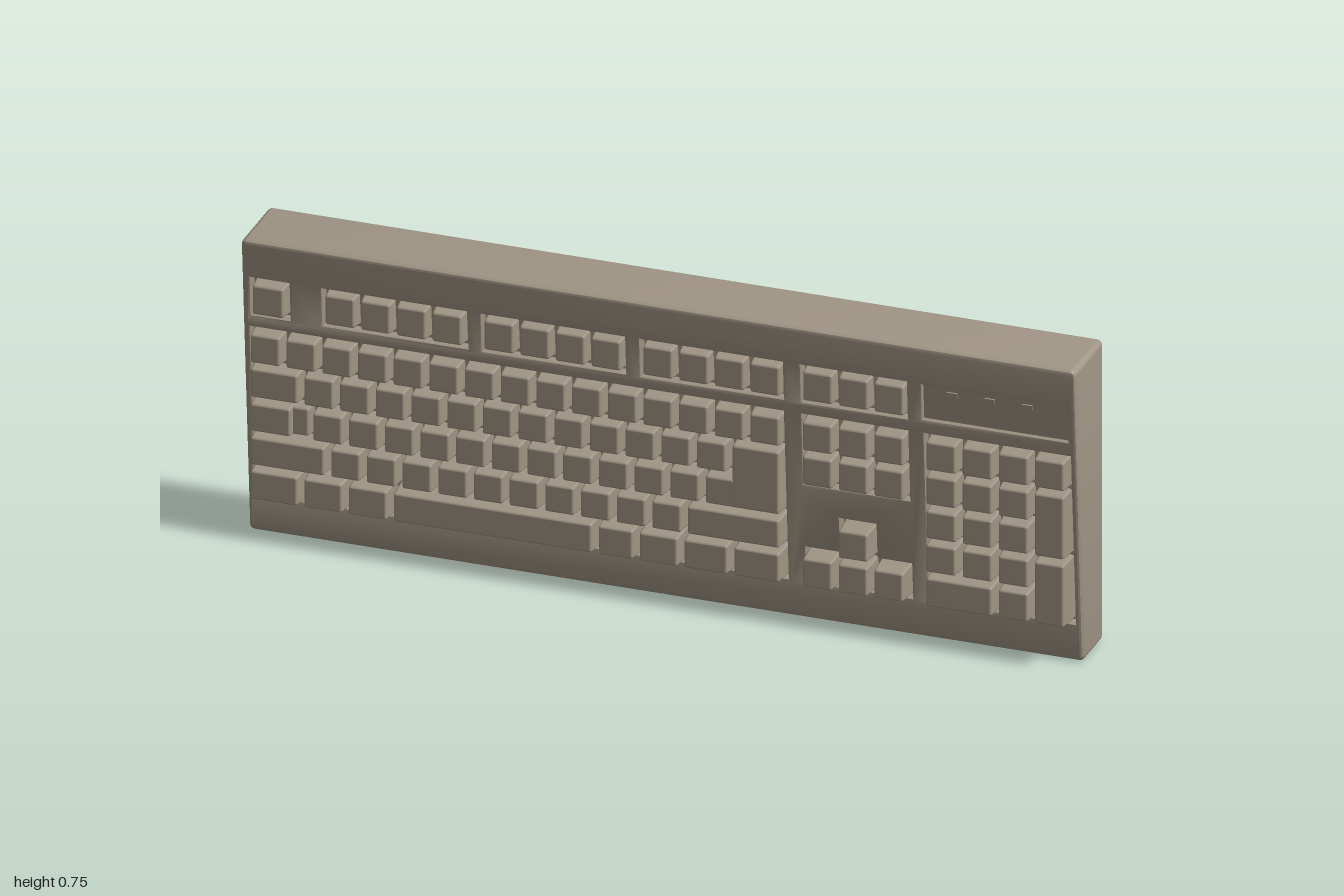
import * as THREE from 'three';
import { toCreasedNormals } from 'three/addons/utils/BufferGeometryUtils.js';
import { RoundedBoxGeometry } from 'three/addons/geometries/RoundedBoxGeometry.js';

const U = 0.0855;                       // width of a single key
const BACK = -0.095;
const slope = (y) => 0.035 + 0.075 * y; // height of the slanted front face
// vertical extent of each key row, lowest first
const ROWS = [[0.1, 0.18], [0.186, 0.264], [0.27, 0.348], [0.355, 0.435], [0.441, 0.521]];
const TOP_ROW = [0.566, 0.648];

export function createModel() {
  const model = new THREE.Group();
  model.name = 'keyboard';
  const plastic = new THREE.MeshStandardMaterial({ color: 0xa09585 });
  plastic.name = 'beige plastic';

  const add = (parent, name, geometry) => {
    const mesh = new THREE.Mesh(geometry, plastic);
    mesh.name = name;
    parent.add(mesh);
    return mesh;
  };
  const group = (name) => {
    const g = new THREE.Group();
    g.name = name;
    model.add(g);
    return g;
  };

  // Case outline with softened corners
  const outline = () => {
    const s = new THREE.Shape(), r = 0.014, t = 0.75;
    s.moveTo(-1 + r, 0).lineTo(1 - r, 0).quadraticCurveTo(1, 0, 1, r);
    s.lineTo(1, t - r).quadraticCurveTo(1, t, 1 - r, t);
    s.lineTo(-1 + r, t).quadraticCurveTo(-1, t, -1, t - r);
    s.lineTo(-1, r).quadraticCurveTo(-1, 0, -1 + r, 0);
    return s;
  };
  // Bevelled slab whose two faces follow the depths back(y) and front(y)
  const slab = (shape, back, front) => {
    const b = 0.008, bt = 0.012;
    const g = new THREE.ExtrudeGeometry(shape, {
      depth: 1, bevelEnabled: true, bevelSize: b, bevelOffset: -b,
      bevelThickness: bt, bevelSegments: 3, curveSegments: 4,
    });
    const p = g.attributes.position;
    for (let i = 0; i < p.count; i++) {
      const y = p.getY(i), z = p.getZ(i);
      p.setZ(i, z < 0.5 ? back(y) + z + bt : front(y) + z - 1 - bt);
    }
    return toCreasedNormals(g, 0.6);
  };

  // Openings in the front face: left, right, bottom, top
  const wells = [
    [-0.985, 0.297, 0.092, 0.53], [0.337, 0.595, 0.345, 0.53], [0.63, 0.985, 0.092, 0.53],
    [-0.982, -0.884, 0.557, 0.657], [-0.81, -0.458, 0.557, 0.657], [-0.428, -0.08, 0.557, 0.657],
    [-0.048, 0.298, 0.557, 0.657], [0.337, 0.595, 0.557, 0.657], [0.627, 0.98, 0.562, 0.655],
  ].map(([l, r, b, t]) => [[l, b], [l, t], [r, t], [r, b]]);
  // Inverted T around the arrow keys
  wells.push([[0.337, 0.092], [0.337, 0.186], [0.42, 0.186], [0.42, 0.274],
    [0.512, 0.274], [0.512, 0.186], [0.595, 0.186], [0.595, 0.092]]);

  // Shrink each opening a little to leave room for its bevel
  const frame = outline();
  const inset = 0.004;
  for (const pts of wells) {
    const xs = pts.map((p) => p[0]), ys = pts.map((p) => p[1]);
    const cx = (Math.min(...xs) + Math.max(...xs)) / 2, cy = (Math.min(...ys) + Math.max(...ys)) / 2;
    frame.holes.push(new THREE.Path(pts.map(([x, y]) =>
      new THREE.Vector2(x - Math.sign(x - cx) * inset, y - Math.sign(y - cy) * inset))));
  }
  add(model, 'caseBody', slab(outline(), () => BACK, (y) => slope(y) - 0.024));
  add(model, 'frontFrame', slab(frame, (y) => slope(y) - 0.06, slope));

  // Status panel with three small indicator lights
  const plate = (name, x, y, w, h, depth, lift) => {
    const m = add(model, name, new THREE.BoxGeometry(w, h, depth));
    m.position.set(x, y, slope(y) + lift);
    m.rotation.x = Math.atan(0.075);
  };
  plate('statusPanel', 0.8035, 0.6085, 0.352, 0.092, 0.02, -0.019);
  for (let i = 0; i < 3; i++) plate('indicatorLight', 0.7 + i * 0.09, 0.636, 0.024, 0.012, 0.006, -0.008);

  // Tapered keycap standing on the sloping well floor
  const key = (parent, name, x0, x1, [y0, y1], top = 0.09) => {
    const gap = 0.0035, w = x1 - x0 - gap * 2, h = y1 - y0;
    const base = slope(y0) - 0.03, d = top - base;
    const g = new RoundedBoxGeometry(w, h, d, 2, 0.006);
    const p = g.attributes.position;
    for (let i = 0; i < p.count; i++) {
      const t = 0.005 * (p.getZ(i) / d + 0.5);
      p.setX(i, p.getX(i) * (1 - 2 * t / w));
      p.setY(i, p.getY(i) * (1 - 2 * t / h));
    }
    add(parent, name, g).position.set((x0 + x1) / 2, (y0 + y1) / 2, base + d / 2);
  };
  // Row of keys from a list of widths in key units
  const keyRow = (parent, name, x, widths, row, unit = U) => {
    for (const w of widths) {
      key(parent, name, x, x + w * unit, row);
      x += w * unit;
    }
  };
  const ones = (n) => Array(n).fill(1);

  // Main typing block
  const main = group('mainKeys');
  const X = -0.985;
  keyRow(main, 'numberKey', X, ones(15), ROWS[4]);
  keyRow(main, 'letterKey', X, [1.5, ...ones(12)], ROWS[3]);
  keyRow(main, 'letterKey', X + 1.75 * U, ones(11), ROWS[2]);
  keyRow(main, 'letterKey', X, [2.25, ...ones(10), 2.75], ROWS[1]);
  keyRow(main, 'bottomKey', X, [1.5, 1.25, 1.25, 5.75, 1.15, 1.25, 1.4, 1.45], ROWS[0]);
  key(main, 'capsLockStep', X, X + 1.75 * U, ROWS[2], 0.073);
  key(main, 'capsLockKey', X, X + 1.3 * U, ROWS[2]);
  key(main, 'enterKeyTall', X + 13.5 * U, X + 15 * U, [ROWS[2][0], ROWS[3][1]]);
  key(main, 'enterKeyWide', X + 12.75 * U, X + 15 * U, ROWS[2], 0.0895);

  // Separate top row
  const topRow = group('topRowKeys');
  key(topRow, 'escapeKey', -0.978, -0.888, TOP_ROW, 0.097);
  for (const x of [-0.806, -0.425, -0.044]) keyRow(topRow, 'topRowKey', x, ones(4), TOP_ROW);
  keyRow(topRow, 'topRowKey', 0.339, ones(3), TOP_ROW);

  // Navigation and arrow keys
  const navigation = group('navigationKeys');
  for (const r of [3, 4]) keyRow(navigation, 'navigationKey', 0.338, ones(3), ROWS[r]);
  keyRow(navigation, 'arrowKey', 0.338, ones(3), ROWS[0]);
  key(navigation, 'arrowKey', 0.338 + U, 0.338 + 2 * U, ROWS[1]);

  // Number pad
  const pad = group('numberPad');
  const P = 0.634, V = 0.0865;
  keyRow(pad, 'padKey', P, ones(4), ROWS[4], V);
  for (const r of [3, 2, 1]) keyRow(pad, 'padKey', P, ones(3), ROWS[r], V);
  keyRow(pad, 'padKey', P, [2, 1], ROWS[0], V);
  for (const r of [2, 0]) key(pad, 'tallPadKey', P + 3 * V, P + 4 * V, [ROWS[r][0], ROWS[r + 1][1]]);

  return model;
}
